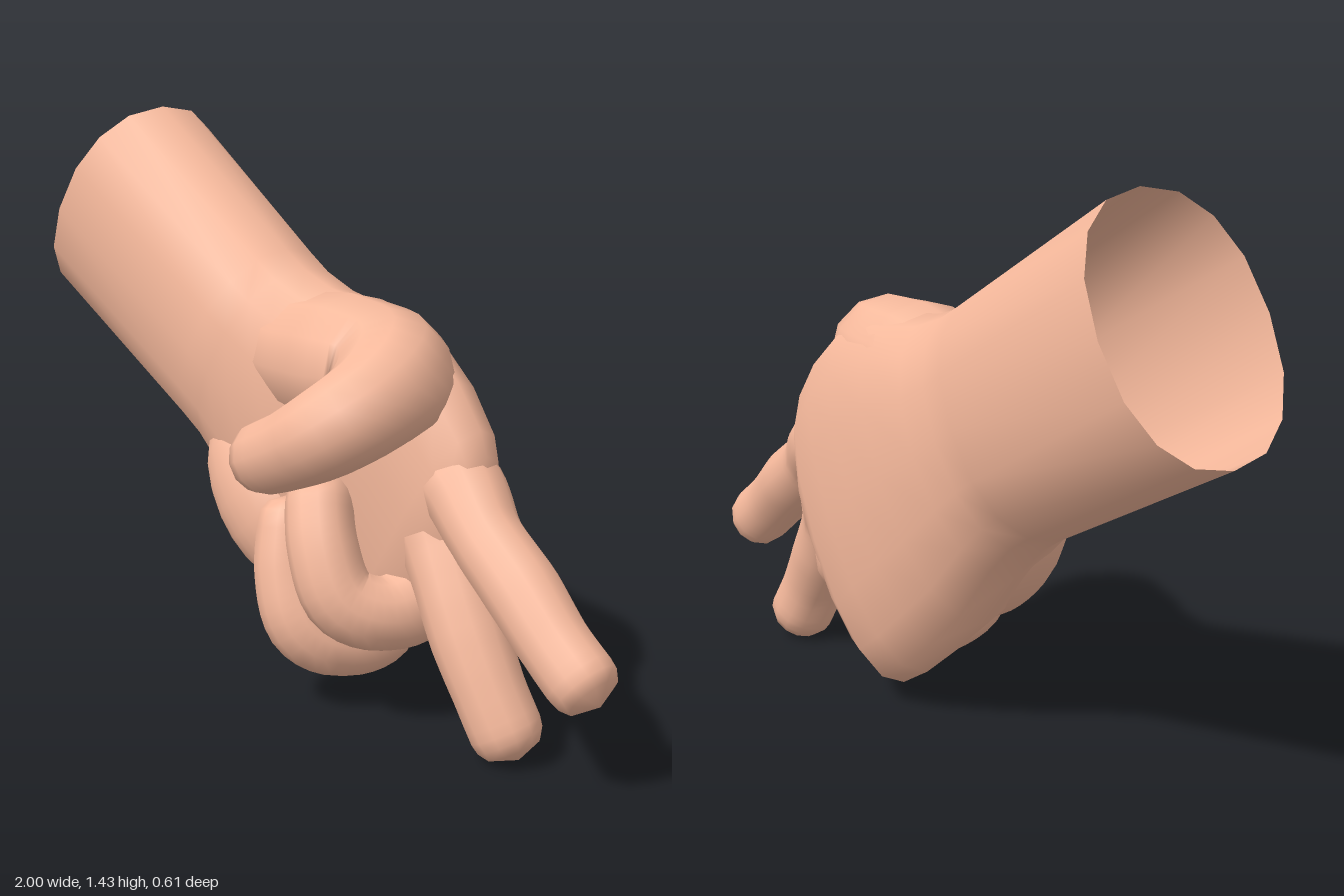
import * as THREE from 'three';
import { mergeVertices } from 'three/addons/utils/BufferGeometryUtils.js';

const skin = new THREE.MeshStandardMaterial({ color: 0xf6b99c, side: THREE.DoubleSide });

// Weld seams and give smooth normals
function smooth(geometry) {
  geometry.deleteAttribute('uv');
  geometry.deleteAttribute('normal');
  const welded = mergeVertices(geometry, 1e-4);
  welded.computeVertexNormals();
  return welded;
}

// Rounded finger along [x, y, z, radius] points, with a blunt tip
function finger(name, points) {
  const path = new THREE.CatmullRomCurve3(points.map(p => new THREE.Vector3(p[0], p[1], p[2])));
  const steps = 32, sides = 12;
  const geometry = new THREE.TubeGeometry(path, steps, 1, sides);
  const pos = geometry.attributes.position;
  const length = path.getLength();
  const v = new THREE.Vector3();
  for (let i = 0; i <= steps; i++) {
    const u = i / steps;
    const centre = path.getPointAt(u);
    const f = path.getUtoTmapping(u) * (points.length - 1);
    const k = Math.min(Math.floor(f), points.length - 2);
    let r = THREE.MathUtils.lerp(points[k][3], points[k + 1][3], f - k);
    const cap = 0.9 * r;
    const into = Math.max(0, (u * length - (length - cap)) / cap);
    r *= Math.sqrt(Math.max(0, 1 - Math.pow(into, 2.2)));
    for (let j = 0; j <= sides; j++) {
      const n = i * (sides + 1) + j;
      v.fromBufferAttribute(pos, n).sub(centre).multiplyScalar(r).add(centre);
      pos.setXYZ(n, v.x, v.y, v.z);
    }
  }
  const mesh = new THREE.Mesh(smooth(geometry), skin);
  mesh.name = name;
  return mesh;
}

// Forearm and palm: rounded sections [along, low, high, back, front]
function forearmAndPalm() {
  const sections = [
    [0, -0.32, 0.32, -0.30, 0.18],
    [0.62, -0.305, 0.31, -0.29, 0.12],
    [0.70, -0.31, 0.31, -0.29, 0.11],
    [0.80, -0.34, 0.33, -0.295, 0.10],
    [0.97, -0.415, 0.40, -0.30, 0.08],
    [1.12, -0.455, 0.43, -0.305, 0.04],
    [1.25, -0.48, 0.40, -0.305, 0.0],
    [1.37, -0.483, 0.35, -0.295, -0.02],
    [1.42, -0.43, 0.31, -0.275, -0.04],
    [1.47, -0.31, 0.25, -0.25, -0.06],
    [1.50, -0.20, 0.18, -0.22, -0.09],
    [1.505, 0, 0.001, -0.16, -0.159],
  ];
  const sides = 16, last = sections.length - 1;
  const geometry = new THREE.CylinderGeometry(1, 1, 1, sides, last, true);
  const pos = geometry.attributes.position;
  const bulge = c => Math.sign(c) * Math.pow(Math.abs(c), 0.9);
  for (let n = 0; n < pos.count; n++) {
    const row = last - Math.floor(n / (sides + 1));
    const [s, low, high, back, front] = sections[row];
    const across = bulge(pos.getZ(n)), deep = bulge(pos.getX(n));
    pos.setXYZ(n, s,
      (low + high) / 2 + across * (high - low) / 2,
      (back + front) / 2 + deep * (front - back) / 2);
  }
  const mesh = new THREE.Mesh(smooth(geometry), skin);
  mesh.name = 'forearmAndPalm';
  mesh.rotation.z = -Math.PI / 6;
  mesh.position.set(-0.84, 1.155, 0);
  return mesh;
}

// Soft mound at the heel of the palm, below the little finger
function palmHeel() {
  const mesh = new THREE.Mesh(new THREE.SphereGeometry(1, 20, 14), skin);
  mesh.name = 'palmHeel';
  mesh.scale.set(0.27, 0.16, 0.15);
  mesh.rotation.z = -0.85;
  mesh.position.set(-0.13, 0.48, -0.03);
  return mesh;
}

export function createModel() {
  const hand = new THREE.Group();
  hand.name = 'hand';
  hand.add(
    forearmAndPalm(),
    palmHeel(),
    // Two outstretched fingers
    finger('indexFinger', [
      [0.28, 0.73, -0.16, 0.09], [0.47, 0.62, -0.15, 0.106], [0.59, 0.535, -0.12, 0.09],
      [0.72, 0.445, -0.115, 0.093], [0.84, 0.35, -0.11, 0.086], [0.98, 0.243, -0.12, 0.088]]),
    finger('middleFinger', [
      [0.26, 0.68, -0.17, 0.09], [0.40, 0.49, -0.15, 0.115], [0.48, 0.39, -0.12, 0.098],
      [0.555, 0.275, -0.11, 0.098], [0.63, 0.16, -0.11, 0.09], [0.715, 0.01, -0.13, 0.09]]),
    // Two fingers curled into the palm
    finger('ringFinger', [
      [0.20, 0.46, -0.18, 0.10], [0.33, 0.33, -0.15, 0.115], [0.34, 0.29, -0.02, 0.094],
      [0.29, 0.33, 0.07, 0.092], [0.23, 0.45, 0.085, 0.088], [0.145, 0.61, 0.035, 0.082]]),
    finger('littleFinger', [
      [0.06, 0.32, -0.18, 0.10], [0.17, 0.20, -0.14, 0.115], [0.175, 0.17, -0.01, 0.094],
      [0.135, 0.22, 0.07, 0.094], [0.085, 0.34, 0.08, 0.088], [0.035, 0.53, 0.03, 0.082]]),
    // Thumb folding across the palm
    finger('thumb', [
      [-0.30, 0.90, -0.10, 0.10], [-0.06, 0.86, -0.08, 0.165], [0.14, 0.87, -0.07, 0.18],
      [0.32, 0.88, -0.05, 0.155], [0.39, 0.85, 0.06, 0.125], [0.365, 0.795, 0.165, 0.113],
      [0.27, 0.735, 0.205, 0.098], [0.10, 0.66, 0.225, 0.085]]),
  );
  return hand;
}
